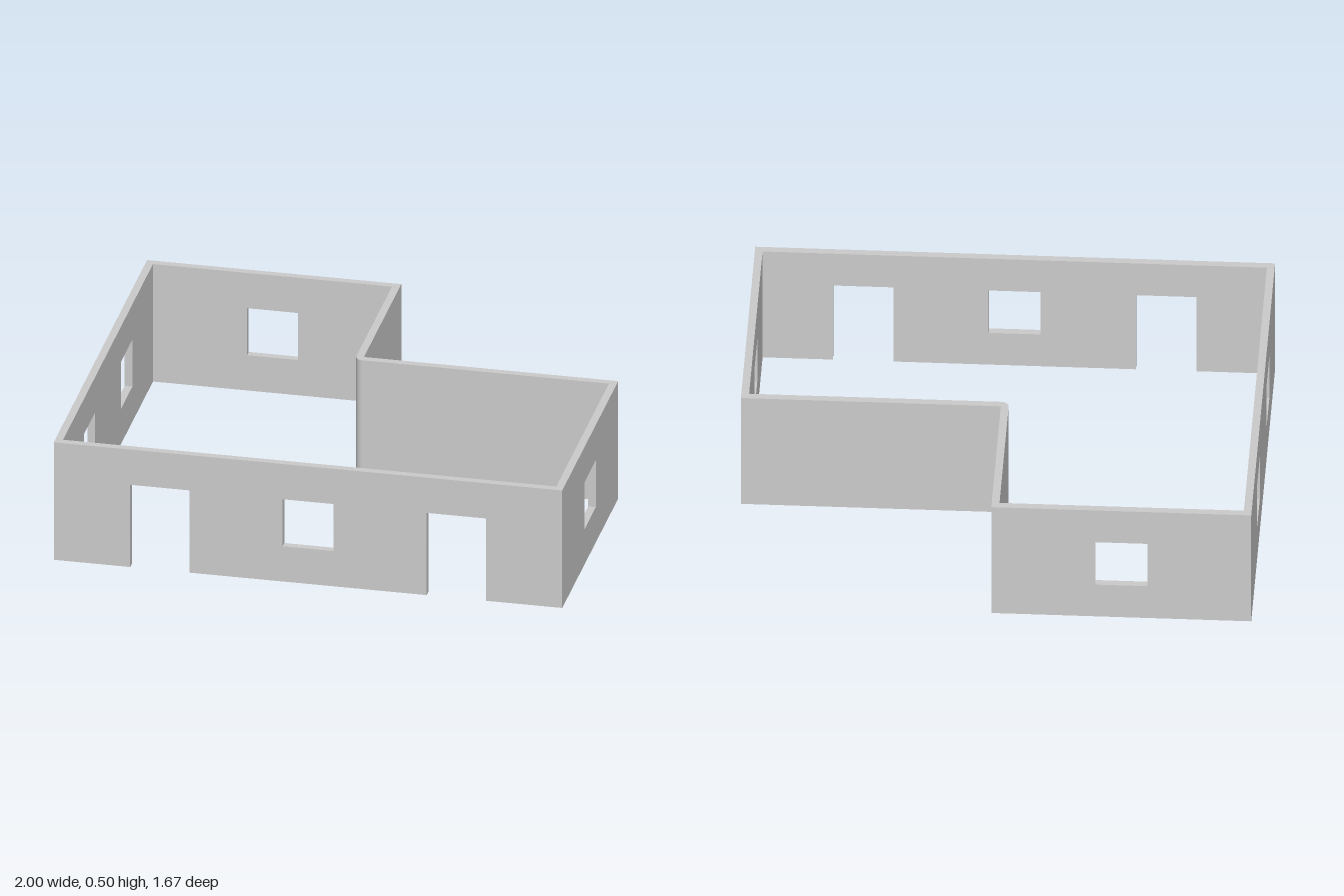
import * as THREE from 'three';

const HEIGHT = 0.5, THICK = 0.03;

// Door or window: centre along the wall, width, bottom and top
const door = (at) => ({ at, width: 0.233, bottom: 0, top: 0.35 });
const window_ = (at) => ({ at, width: 0.2, bottom: 0.15, top: 0.35 });

// Outer corners [x, z] and the wall that starts at each one
const WALLS = [
  { name: 'frontWall', from: [1, 0.833], openings: [door(0.417), window_(1), door(1.583)] },
  { name: 'rightWall', from: [-1, 0.833], openings: [window_(0.5), window_(1.167)] },
  { name: 'backWall', from: [-1, -0.833], openings: [window_(0.5)] },
  { name: 'recessSideWall', from: [0, -0.833], openings: [] },
  { name: 'recessBackWall', from: [0, -0.167], openings: [], reflex: true },
  { name: 'leftWall', from: [1, -0.167], openings: [window_(0.5)] },
];

// Wall panel with openings, mitred at its ends; the hidden end faces are dropped
function wallGeometry(length, openings, mitreStart, mitreEnd) {
  const shape = new THREE.Shape();
  shape.moveTo(0, 0);
  for (const o of openings) {
    const a = o.at - o.width / 2, b = o.at + o.width / 2;
    if (o.bottom === 0) {
      shape.lineTo(a, 0);
      shape.lineTo(a, o.top);
      shape.lineTo(b, o.top);
      shape.lineTo(b, 0);
    } else {
      shape.holes.push(new THREE.Path([
        new THREE.Vector2(a, o.bottom), new THREE.Vector2(a, o.top),
        new THREE.Vector2(b, o.top), new THREE.Vector2(b, o.bottom),
      ]));
    }
  }
  shape.lineTo(length, 0);
  shape.lineTo(length, HEIGHT);
  shape.lineTo(0, HEIGHT);
  shape.closePath();

  const p = new THREE.ExtrudeGeometry(shape, { depth: THICK, bevelEnabled: false }).getAttribute('position');
  const atStart = (i) => Math.abs(p.getX(i)) < 1e-4;
  const atEnd = (i) => Math.abs(p.getX(i) - length) < 1e-4;
  const out = [];
  for (let i = 0; i < p.count; i += 3) {
    const tri = [i, i + 1, i + 2];
    if (tri.every(atStart) || tri.every(atEnd)) continue;
    for (const v of tri) {
      let x = p.getX(v);
      const z = p.getZ(v);
      if (atStart(v)) x += z * mitreStart;
      else if (atEnd(v)) x -= z * mitreEnd;
      out.push(x, p.getY(v), z);
    }
  }
  const geometry = new THREE.BufferGeometry();
  geometry.setAttribute('position', new THREE.Float32BufferAttribute(out, 3));
  geometry.computeVertexNormals();
  return geometry;
}

export function createModel() {
  const model = new THREE.Group();
  model.name = 'houseWalls';
  const material = new THREE.MeshStandardMaterial({ color: 0xcccccc });

  WALLS.forEach((wall, i) => {
    const next = WALLS[(i + 1) % WALLS.length];
    const [x, z] = wall.from;
    const dx = next.from[0] - x, dz = next.from[1] - z;
    const geometry = wallGeometry(Math.hypot(dx, dz), wall.openings, wall.reflex ? 0 : 1, next.reflex ? 0 : 1);
    const mesh = new THREE.Mesh(geometry, material);
    mesh.name = wall.name;
    mesh.position.set(x, 0, z);
    mesh.rotation.y = Math.atan2(-dz, dx);
    model.add(mesh);

    // Rounded post where the walls turn inwards
    if (wall.reflex) {
      const post = new THREE.Mesh(
        new THREE.CylinderGeometry(THICK, THICK, HEIGHT, 8, 1, false, -Math.PI / 2, Math.PI / 2), material);
      post.name = 'recessCorner';
      post.position.set(x, HEIGHT / 2, z);
      model.add(post);
    }
  });
  return model;
}
